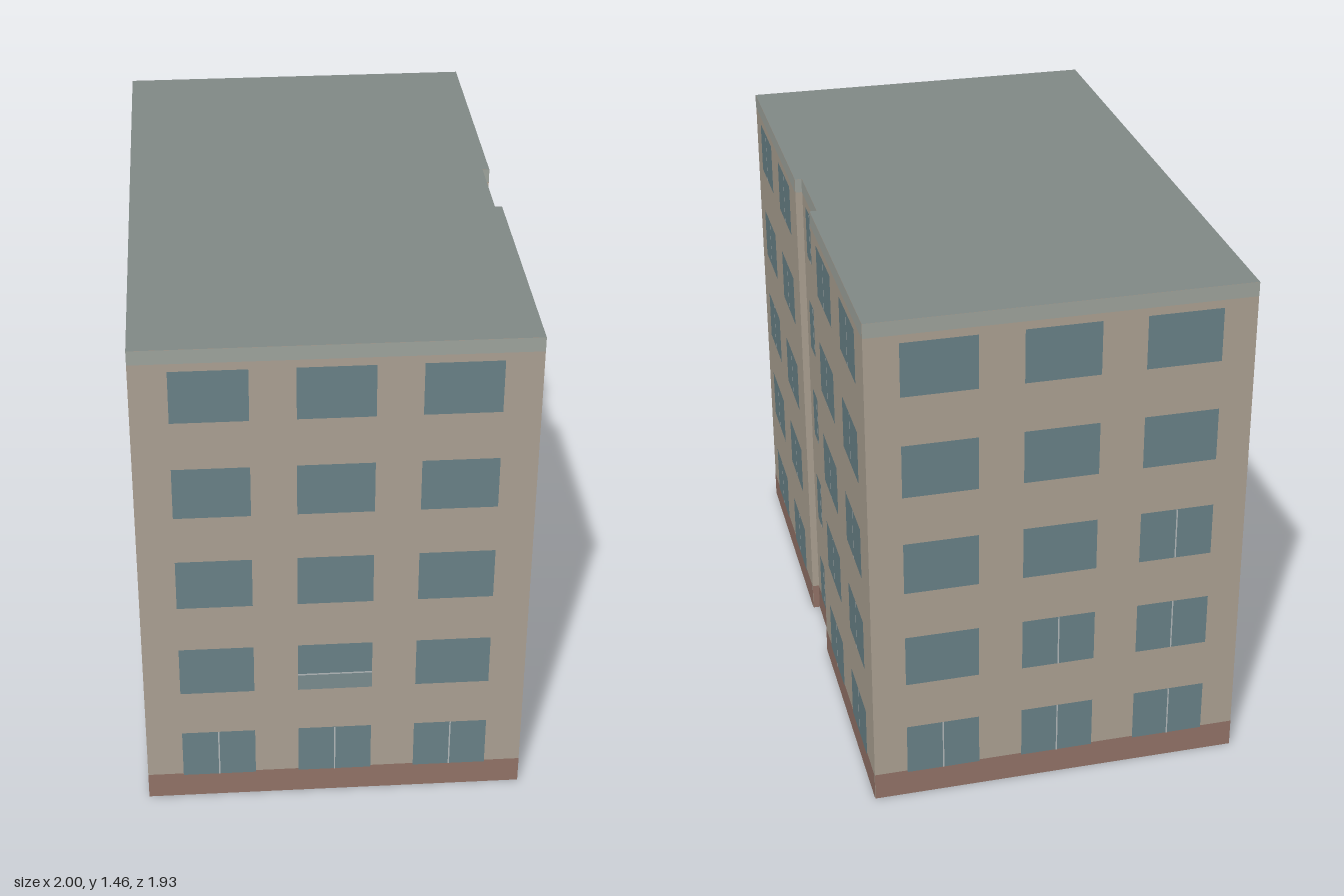
import * as THREE from 'three';

const HEIGHT = 1.457, PLINTH = 0.08, CORNICE = 0.04;
const FLOORS = 5, FLOOR_PITCH = 0.292, SILL = 0.075, WINDOW_HEIGHT = 0.152;
const NOTCH_START = 0.751, NOTCH_END = 0.997, NOTCH_DEPTH = 0.02;

const mat = (color, side = THREE.FrontSide) => new THREE.MeshStandardMaterial({ color, side });
const wallMat = mat(0xada294, THREE.DoubleSide);
const roofMat = mat(0x828a87, THREE.DoubleSide);
const plinthMat = mat(0x937468);
const corniceMat = mat(0xa0a59e);
const glassMat = mat(0x6a8288);
const frameMat = mat(0xb4babb);
const panelMat = mat(0x7b8d90, THREE.DoubleSide);

// Main corners of the plan (x, z)
const frontLeft = new THREE.Vector2(-1, -0.175);
const frontRight = new THREE.Vector2(0.313, 0.964);
const backRight = new THREE.Vector2(1, 0.165);
const backLeft = new THREE.Vector2(-0.327, -0.966);

// Point on the back wall, at a distance from its right corner and a depth inward
const along = backLeft.clone().sub(backRight).normalize();
const inward = new THREE.Vector2(along.y, -along.x);
const onBack = (distance, depth) =>
  backRight.clone().addScaledVector(along, distance).addScaledVector(inward, depth);

const footprint = [
  frontLeft, frontRight, backRight,
  onBack(NOTCH_START, 0), onBack(NOTCH_START, NOTCH_DEPTH),
  onBack(NOTCH_END, NOTCH_DEPTH), onBack(NOTCH_END, 0), backLeft,
];

// One entry per footprint edge; split(row, col) tells which windows have a mullion
const always = () => true;
const groundOnly = (row) => row === 0;
const backWing = { name: 'backWing', columns: [-0.172, 0.168], width: 0.21, split: always };
const facades = [
  { name: 'frontFacade', columns: [-0.553, 0, 0.553], width: 0.344, split: groundOnly, railing: 2 },
  { name: 'rightFacade', columns: [-0.325, 0, 0.325], width: 0.204, split: groundOnly, railing: 1 },
  backWing,
  { name: 'notchSide' },
  { name: 'notchWall', columns: [0], width: 0.128, split: always },
  { name: 'notchSide' },
  backWing,
  {
    name: 'leftFacade', columns: [-0.325, 0, 0.325], width: 0.204,
    split: (row, col) => row === 0 || (row === 1 && col > 0) || (row === 2 && col === 2),
  },
];

// Upright rectangle from y0 to y1, facing local +z
function panel(name, material, x, y0, y1, width, z) {
  const mesh = new THREE.Mesh(new THREE.PlaneGeometry(width, y1 - y0), material);
  mesh.name = name;
  mesh.position.set(x, (y0 + y1) / 2, z);
  return mesh;
}

function facade(spec, start, end) {
  const group = new THREE.Group();
  group.name = spec.name;
  group.position.set((start.x + end.x) / 2, 0, (start.y + end.y) / 2);
  group.rotation.y = Math.atan2(start.y - end.y, end.x - start.x);

  // Full-height wall with plinth and cornice bands laid over it
  const length = start.distanceTo(end);
  group.add(
    panel('wall', wallMat, 0, 0, HEIGHT, length, 0),
    panel('plinth', plinthMat, 0, 0, PLINTH, length, 0.001),
    panel('cornice', corniceMat, 0, HEIGHT - CORNICE, HEIGHT, length, 0.001),
  );

  // Window grid
  (spec.columns ?? []).forEach((x, col) => {
    for (let row = 0; row < FLOORS; row++) {
      const y = SILL + row * FLOOR_PITCH;
      group.add(panel('window', glassMat, x, y, y + WINDOW_HEIGHT, spec.width, 0.002));
      if (spec.split(row, col)) {
        group.add(panel('mullion', frameMat, x, y, y + WINDOW_HEIGHT, 0.004, 0.003));
      }
      // Thin railing across the lower part of a window
      if (row === 1 && spec.railing === col) {
        group.add(
          panel('railingPanel', panelMat, x, y, y + 0.05, spec.width, 0.005),
          panel('railingTop', frameMat, x, y + 0.05, y + 0.055, spec.width, 0.005),
        );
      }
    }
  });
  return group;
}

export function createModel() {
  const model = new THREE.Group();
  model.name = 'apartmentBlock';

  facades.forEach((spec, i) => {
    model.add(facade(spec, footprint[i], footprint[(i + 1) % footprint.length]));
  });

  // Flat roof; the block is open underneath
  const outline = new THREE.Shape(footprint.map((p) => new THREE.Vector2(p.x, -p.y)));
  const roof = new THREE.Mesh(new THREE.ShapeGeometry(outline).rotateX(-Math.PI / 2), roofMat);
  roof.name = 'roof';
  roof.position.y = HEIGHT;
  model.add(roof);

  return model;
}
